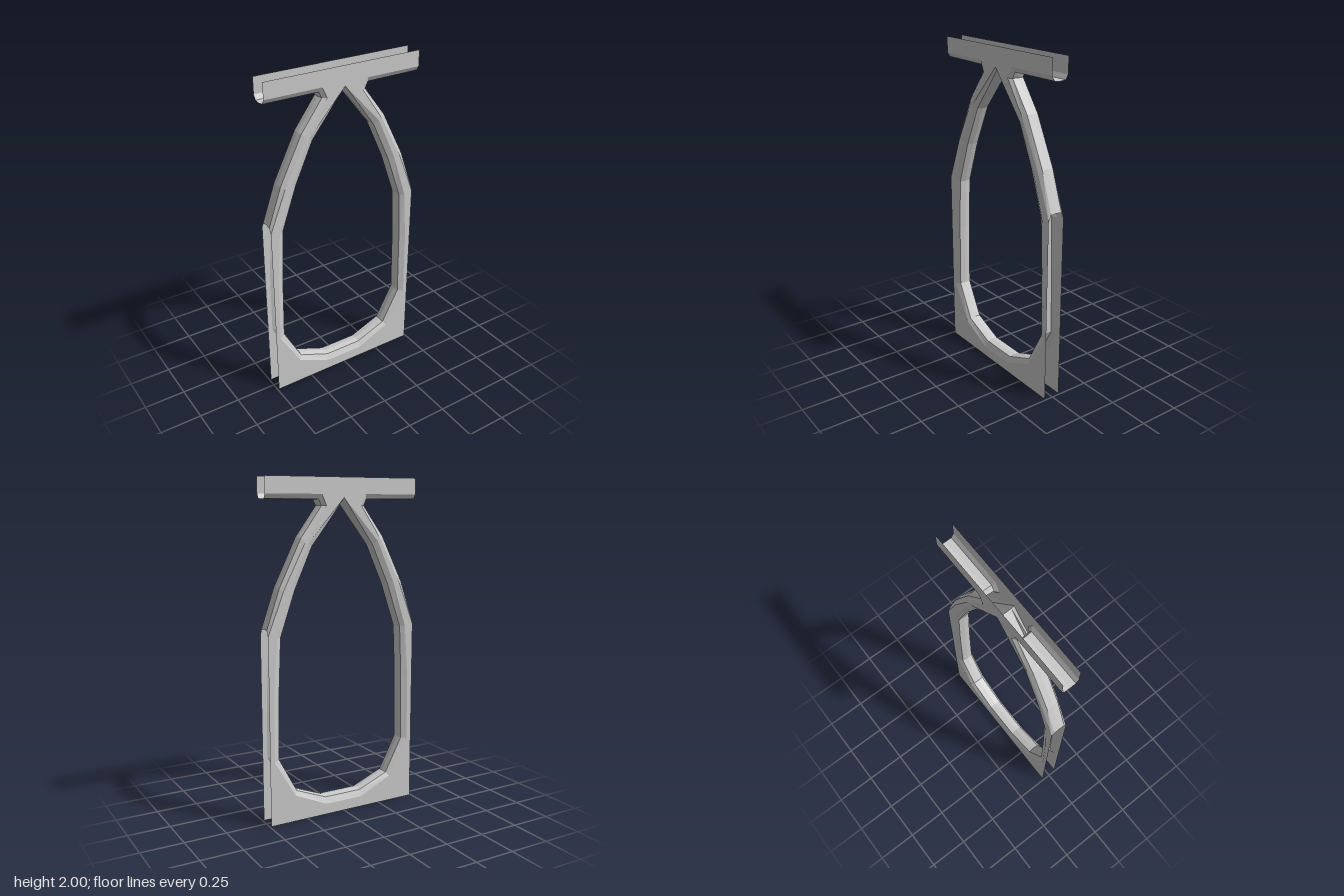
import * as THREE from 'three';

const HALF_DEPTH = 0.052;

// Right half of the opening, bottom to apex: [plate edge x, y, lining ridge x, y]
const OPENING = [
  [0.12, 0.065, 0.12, 0.11],
  [0.33, 0.16, 0.312, 0.186],
  [0.462, 0.385, 0.422, 0.395],
  [0.457, 0.8, 0.415, 0.8],
  [0.435, 1.11, 0.402, 1.11],
  [0.345, 1.385, 0.31, 1.37],
  [0.23, 1.635, 0.2, 1.61],
  [0, 1.885, 0, 1.87],
];

// Right outer edge, beam end down to the shoulder
const OUTSIDE = [
  [0.495, 1.905, 0.495, 1.875],
  [0.145, 1.905, 0.16, 1.873],
  [0.115, 1.84, 0.143, 1.84],
  [0.25, 1.645, 0.275, 1.665],
  [0.39, 1.375, 0.413, 1.388],
  [0.491, 1.12, 0.491, 1.16],
];

// Cross-section of the linings: [z, share of the way from plate edge to ridge]
const SECTION = [[HALF_DEPTH, 0], [0.036, 0.87], [0, 1], [-0.036, 0.87], [-HALF_DEPTH, 0]];

const mirror = (rows) => rows.map(([a, b, c, d]) => [-a, b, -c, d]);

// Sweeps the cross-section along paired edge and ridge points
function lining(name, rows, material) {
  const positions = [];
  const index = [];
  const n = SECTION.length;
  rows.forEach(([ex, ey, rx, ry], i) => {
    for (const [z, t] of SECTION) positions.push(ex + (rx - ex) * t, ey + (ry - ey) * t, z);
    if (i === 0) return;
    for (let j = 0; j < n - 1; j++) {
      const a = (i - 1) * n + j;
      const b = i * n + j;
      index.push(a, b, a + 1, b, b + 1, a + 1);
    }
  });
  const geometry = new THREE.BufferGeometry();
  geometry.setAttribute('position', new THREE.Float32BufferAttribute(positions, 3));
  geometry.setIndex(index);
  const flat = geometry.toNonIndexed();
  flat.computeVertexNormals();
  const mesh = new THREE.Mesh(flat, material);
  mesh.name = name;
  return mesh;
}

export function createModel() {
  const group = new THREE.Group();
  group.name = 'archedFrame';
  const material = new THREE.MeshStandardMaterial({
    color: 0xcccccc, flatShading: true, side: THREE.DoubleSide,
  });

  // Closed loop round the opening: up the right side, down the left
  const loop = [...OPENING, ...mirror(OPENING.slice(0, -1)).reverse()];

  // Front and back face plates with the arched opening cut out
  const right = [[0.495, 2], ...OUTSIDE, [0.491, 0]];
  const left = right.map(([x, y]) => [-x, y]).reverse();
  const toPoints = (rows) => rows.map(([x, y]) => new THREE.Vector2(x, y));
  const shape = new THREE.Shape(toPoints([...right, ...left]));
  shape.holes.push(new THREE.Path(toPoints(loop)));
  for (const side of [1, -1]) {
    const geometry = new THREE.ShapeGeometry(shape);
    if (side < 0) geometry.rotateY(Math.PI);
    geometry.translate(0, 0, side * HALF_DEPTH);
    const plate = new THREE.Mesh(geometry, material);
    plate.name = side > 0 ? 'frontPlate' : 'backPlate';
    group.add(plate);
  }

  // Bevelled lining round the opening
  group.add(lining('openingLining', [...loop, loop[0]], material));

  // Beam undersides and outer arch flanks; top, bottom and lower sides stay open
  group.add(lining('leftOuterLining', OUTSIDE, material));
  group.add(lining('rightOuterLining', mirror(OUTSIDE).reverse(), material));

  return group;
}
